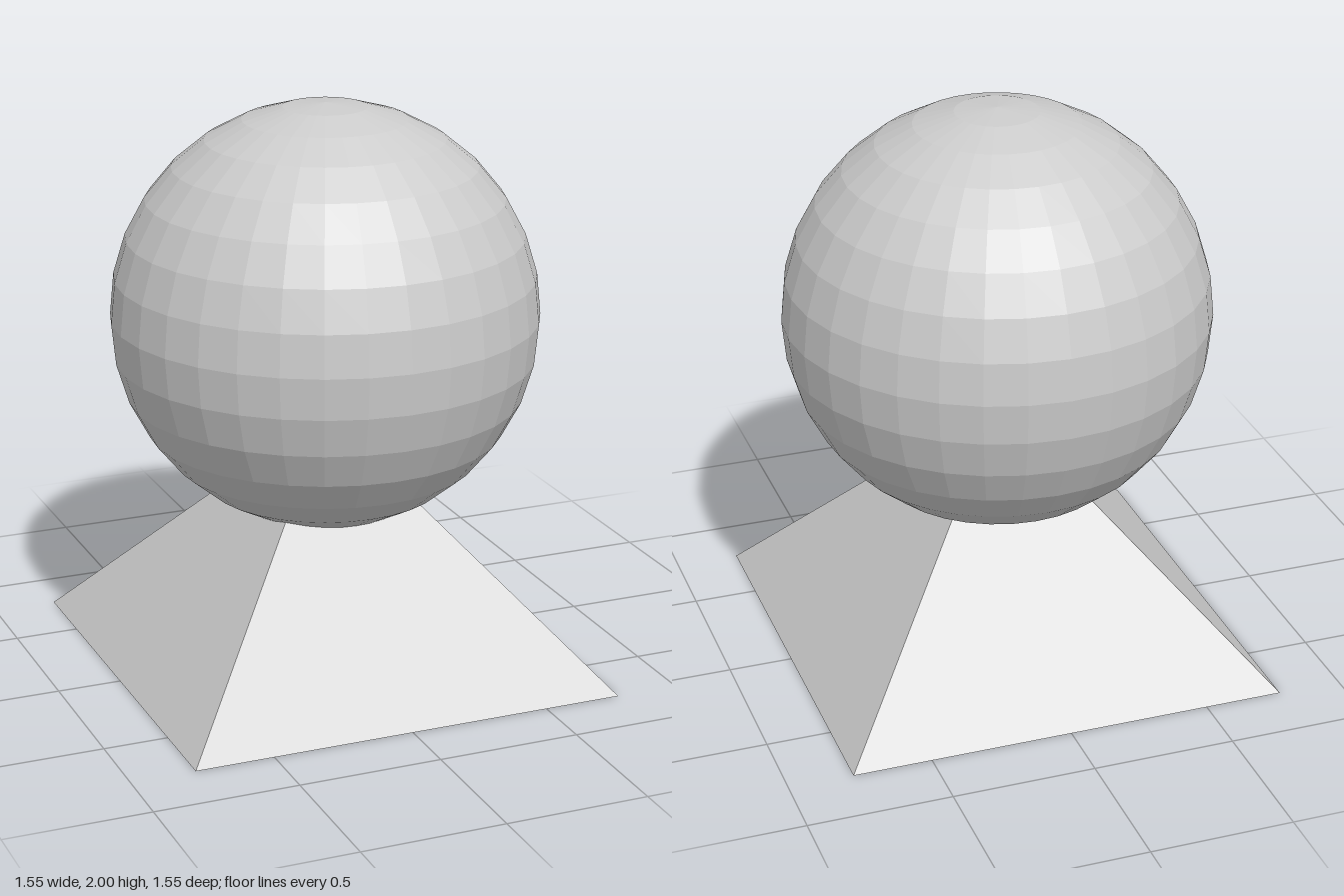
import * as THREE from 'three';

export function createModel() {
  const group = new THREE.Group();
  const material = new THREE.MeshStandardMaterial({ color: 0xcccccc, flatShading: true });

  // Square pyramid base, its tip hidden inside the ball
  const halfWidth = 0.776, height = 0.89;
  const baseGeometry = new THREE.ConeGeometry(halfWidth * Math.SQRT2, height, 4);
  baseGeometry.rotateY(Math.PI / 4);
  baseGeometry.translate(0, height / 2, 0);
  const base = new THREE.Mesh(baseGeometry, material);
  base.name = 'pyramidBase';
  group.add(base);

  // Faceted ball resting on the pyramid
  const radius = 0.744;
  const ball = new THREE.Mesh(new THREE.SphereGeometry(radius, 32, 16), material);
  ball.name = 'ball';
  ball.position.y = 2 - radius;
  group.add(ball);

  return group;
}
